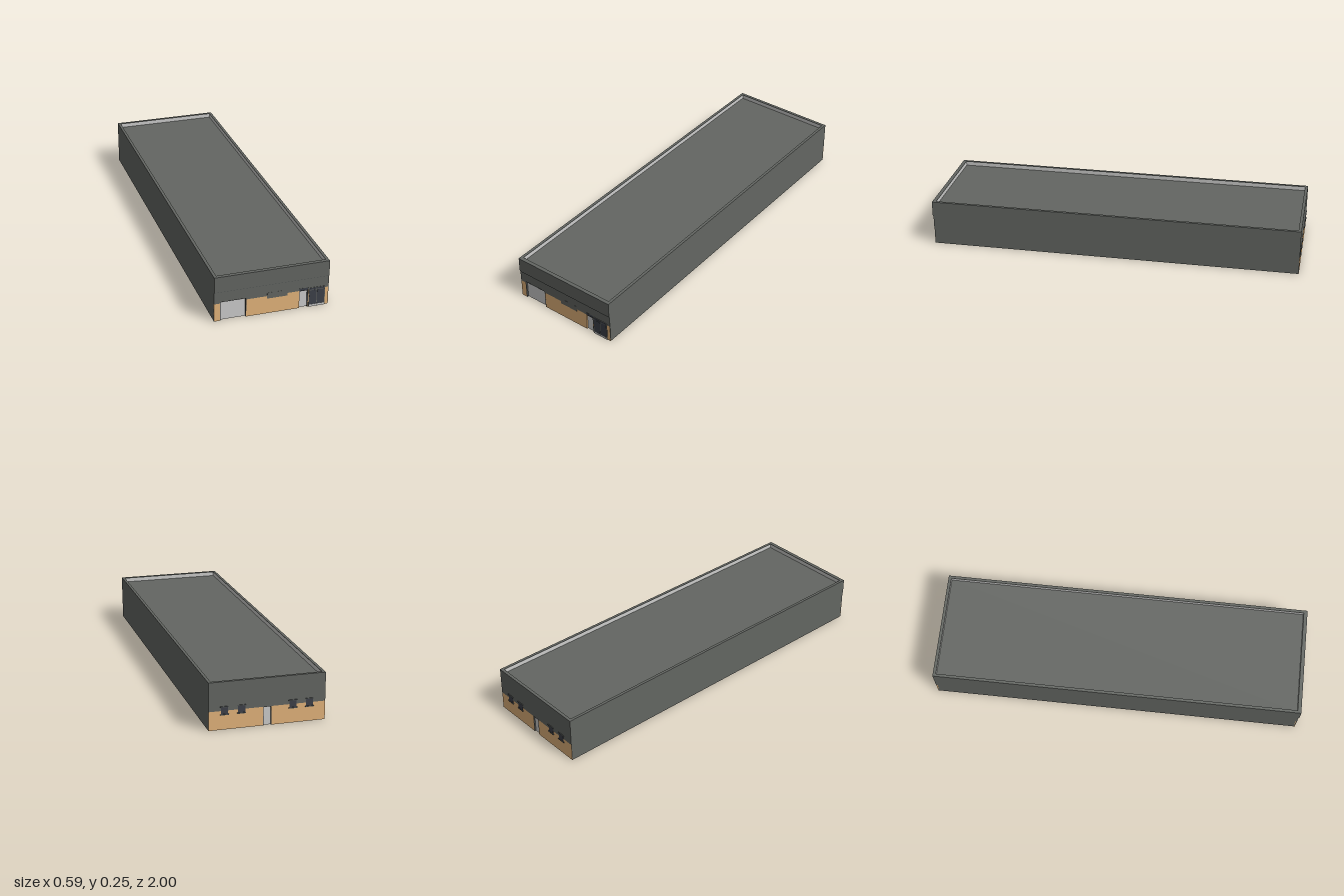
import * as THREE from 'three';

const mat = (name, color) => {
  const m = new THREE.MeshStandardMaterial({ color });
  m.name = name;
  return m;
};

export function createModel() {
  const cladding = mat('dark grey cladding', 0x636662);
  const light = mat('light grey', 0xcccccb);
  const tan = mat('tan wall', 0xe3b47b);
  const glass = mat('dark glass', 0x3d4049);
  const trim = mat('charcoal trim', 0x4d5051);

  const model = new THREE.Group();
  model.name = 'warehouse';
  const W = 0.297, H = 0.245, BAND = 0.097;

  // Box given by its limits on each axis
  const box = (name, m, x0, x1, y0, y1, z0, z1, parent = model) => {
    const mesh = new THREE.Mesh(new THREE.BoxGeometry(x1 - x0, y1 - y0, z1 - z0), m);
    mesh.position.set((x0 + x1) / 2, (y0 + y1) / 2, (z0 + z1) / 2);
    mesh.name = name;
    parent.add(mesh);
  };

  // Wall band with door openings [x0, x1, top], made of piers and lintels
  const band = (name, m, xa, xb, y0, y1, z0, z1, openings) => {
    const g = new THREE.Group();
    g.name = name;
    let x = xa;
    for (const [a, b, top] of openings) {
      if (top <= y0) continue;
      box('pier', m, x, a, y0, y1, z0, z1, g);
      if (top < y1) box('lintel', m, a, b, top, y1, z0, z1, g);
      x = b;
    }
    box('pier', m, x, xb, y0, y1, z0, z1, g);
    model.add(g);
  };

  const frontDoors = [[-0.267, -0.132, 0.105], [0.144, 0.189, 0.11], [0.192, 0.278, 0.106]];
  const backDoors = [[-0.021, 0.021, 0.097]];

  // Long side walls: dark outside, light lining
  for (const s of [-1, 1]) {
    const span = (a, b) => (s > 0 ? [a, b] : [-b, -a]);
    box('sideWall', cladding, ...span(W - 0.003, W), 0, H - 0.003, -0.995, 0.994);
    box('sideLining', light, ...span(W - 0.015, W - 0.003), 0, H - 0.003, -0.98, 0.98);
    box('sideCoping', cladding, ...span(W - 0.015, W), H - 0.003, H, -0.995, 0.998);
  }

  // Front wall with a projecting fascia
  band('frontLowerWall', tan, -W, W - 0.003, 0, BAND, 0.988, 0.9955, frontDoors);
  band('frontUpperWall', cladding, -W, W, BAND, 0.162, 0.988, 0.9958, frontDoors);
  box('frontFascia', cladding, -W, W, 0.1625, H, 0.988, 1);
  box('fasciaSeam', trim, -W, W, 0.1612, 0.1625, 0.99, 1);
  band('frontLining', light, -W + 0.003, W - 0.003, 0, H - 0.003, 0.98, 0.988, frontDoors);
  box('frontCoping', cladding, -W, W, H - 0.003, H, 0.98, 0.998);
  box('frontPanel', cladding, -0.025, 0.08, 0.083, 0.115, 0.99, 0.9963);

  // Back wall
  band('backLowerWall', tan, -W, W, 0, BAND, -0.9955, -0.988, backDoors);
  box('backUpperWall', cladding, -W, W, BAND, H, -0.996, -0.988);
  band('backLining', light, -W + 0.003, W - 0.003, 0, H - 0.003, -0.988, -0.98, backDoors);
  box('backCoping', cladding, -W, W, H - 0.003, H, -0.996, -0.98);

  // Flat roof set down behind the parapet, with a light ceiling
  box('roof', cladding, -W + 0.013, W - 0.013, 0.219, 0.221, -0.982, 0.982);
  box('ceiling', light, -W + 0.013, W - 0.013, 0.217, 0.219, -0.982, 0.982);

  // Roller door
  box('rollerDoor', light, -0.264, -0.135, 0, 0.104, 0.983, 0.986);
  box('rollerDoorBack', trim, -0.267, -0.132, 0, 0.105, 0.979, 0.983);
  for (const x of [-0.267, -0.135]) box('rollerFrame', trim, x, x + 0.003, 0, 0.105, 0.983, 0.9958);
  box('rollerHead', trim, -0.267, -0.132, 0.1035, 0.105, 0.983, 0.9962);

  // Side door with transom
  box('sideDoor', light, 0.144, 0.185, 0, 0.095, 0.983, 0.988);
  box('sideDoorTransom', glass, 0.144, 0.189, 0.097, 0.109, 0.984, 0.9955);
  box('sideDoorJamb', trim, 0.185, 0.189, 0, 0.097, 0.982, 0.9958);
  box('sideDoorRail', trim, 0.144, 0.189, 0.0945, 0.097, 0.983, 0.9962);
  box('sideDoorHead', trim, 0.144, 0.189, 0.1085, 0.11, 0.983, 0.9962);

  // Double glass entrance
  box('entranceFrame', cladding, 0.192, 0.278, 0, 0.106, 0.985, 0.9978);
  for (const x of [0.195, 0.2365]) {
    box('entranceGlass', glass, x, x + 0.038, 0.013, 0.092, 0.997, 0.9984);
    box('entranceTransom', glass, x, x + 0.038, 0.095, 0.104, 0.997, 0.9984);
    box('entranceKickPanel', light, x, x + 0.038, 0, 0.011, 0.997, 0.9984);
  }

  // Back door
  box('backDoor', light, -0.019, 0.019, 0, 0.095, -0.988, -0.983);
  for (const x of [-0.021, 0.019]) box('backDoorJamb', trim, x, x + 0.002, 0, 0.097, -0.9955, -0.983);
  box('backDoorHead', trim, -0.021, 0.021, 0.095, 0.097, -0.9955, -0.983);

  // Back windows with projecting head and sill
  for (const x of [-0.215, -0.13, 0.131, 0.217]) {
    const g = new THREE.Group();
    g.name = 'backWindow';
    box('pane', glass, x - 0.018, x + 0.018, 0.08, 0.115, -0.9972, -0.99, g);
    box('head', trim, x - 0.022, x + 0.022, 0.115, 0.12, -1, -0.99, g);
    box('sill', trim, x - 0.022, x + 0.022, 0.075, 0.08, -1, -0.99, g);
    model.add(g);
  }

  return model;
}
